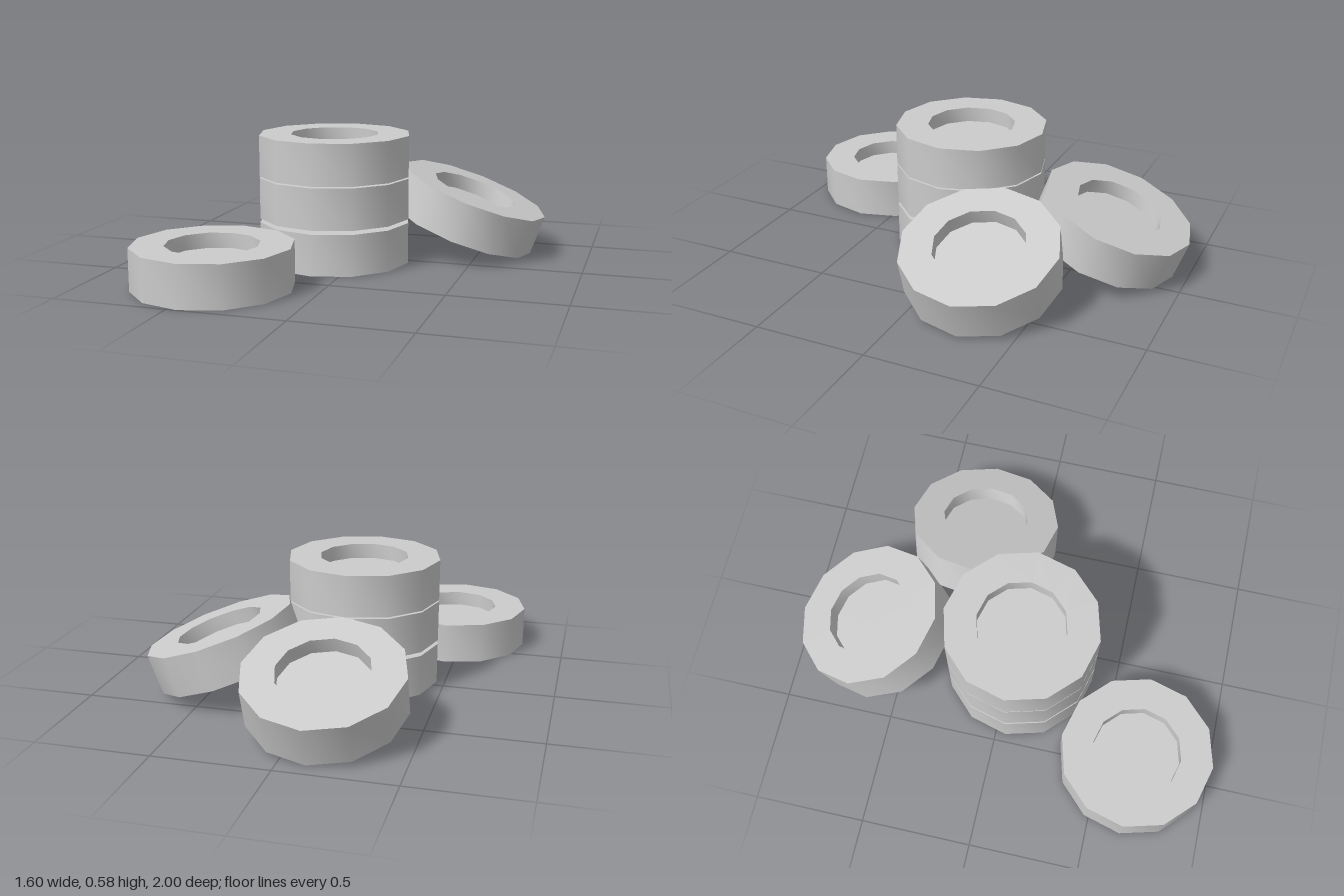
import * as THREE from 'three';
import { toCreasedNormals } from 'three/addons/utils/BufferGeometryUtils.js';

const R = 0.345;      // outer radius
const HOLE = 0.2;     // recess radius
const H = 0.0925;     // half thickness
const WEB = 0.025;    // half thickness of the centre disc
const SIDES = 12;

// Thick ring with a recessed disc on both faces
function tyreGeometry() {
  const profile = [
    [0, -WEB], [HOLE, -WEB], [HOLE, -H], [R, -H],
    [R, H], [HOLE, H], [HOLE, WEB], [0, WEB],
  ].map(([x, y]) => new THREE.Vector2(x, y));
  return toCreasedNormals(new THREE.LatheGeometry(profile, SIDES), 0.7);
}

export function createModel() {
  const group = new THREE.Group();
  group.name = 'tyrePile';
  const geometry = tyreGeometry();
  const material = new THREE.MeshStandardMaterial({ color: 0xcccccc });
  const lean = THREE.MathUtils.degToRad(20);
  const yaw = THREE.MathUtils.degToRad(4);

  function addTyre(name, position, rotation = [0, 0, 0]) {
    const tyre = new THREE.Mesh(geometry, material);
    tyre.name = name;
    tyre.position.set(...position);
    tyre.rotation.set(...rotation, 'YXZ');
    group.add(tyre);
  }

  // Upright stack of three
  ['stackBottomTyre', 'stackMiddleTyre', 'stackTopTyre'].forEach((name, i) =>
    addTyre(name, [-0.118, [0.0925, 0.295, 0.487][i], 0.045]));

  // One lying flat, two leaning on the stack
  addTyre('flatTyre', [-0.455, 0.0925, 0.652]);
  addTyre('backLeaningTyre', [-0.118, 0.21, -0.644], [-lean, 0, 0]);
  addTyre('sideLeaningTyre', [0.441, 0.21, -0.257], [0, yaw, -lean]);

  return group;
}
